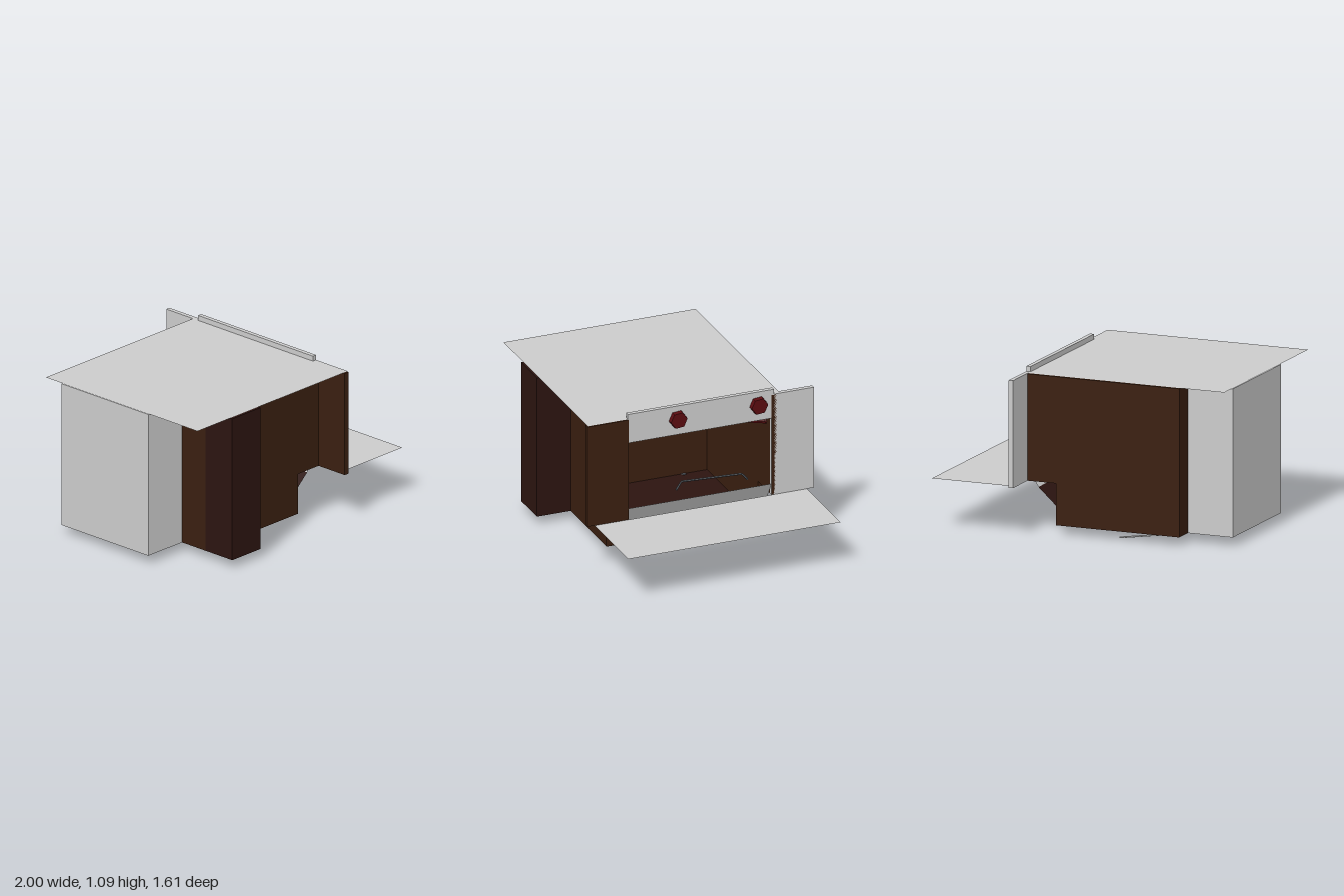
import * as THREE from 'three';

const mat = (color) => new THREE.MeshStandardMaterial({ color, side: THREE.DoubleSide, flatShading: true });
const grey = mat(0xcccccc), wood = mat(0x3a1f10), darkWood = mat(0x2c1410);
const red = mat(0x5a0c10), metal = mat(0x555a60), inner = mat(0x4a3c36);

export function createModel() {
  const group = new THREE.Group();
  const add = (name, geometry, material) => {
    const mesh = new THREE.Mesh(geometry, material);
    mesh.name = name;
    group.add(mesh);
    return mesh;
  };
  // Box from its limits on each axis
  const box = (name, x0, x1, y0, y1, z0, z1, material) =>
    add(name, new THREE.BoxGeometry(x1 - x0, y1 - y0, z1 - z0), material)
      .position.set((x0 + x1) / 2, (y0 + y1) / 2, (z0 + z1) / 2);
  // Flat strip spanning the opening in z, between two (x, y) points
  const strip = (name, a, b, z0, z1, material) => {
    const plane = new THREE.PlaneGeometry(Math.hypot(b[0] - a[0], b[1] - a[1]), z1 - z0);
    plane.rotateX(-Math.PI / 2).rotateZ(Math.atan2(b[1] - a[1], b[0] - a[0]));
    add(name, plane, material).position.set((a[0] + b[0]) / 2, (a[1] + b[1]) / 2, (z0 + z1) / 2);
  };
  // Thin rod through a list of points
  const rod = (name, points, radius, material) => {
    const path = new THREE.CurvePath();
    const p = points.map((q) => new THREE.Vector3(...q));
    for (let i = 1; i < p.length; i++) path.add(new THREE.LineCurve3(p[i - 1], p[i]));
    add(name, new THREE.TubeGeometry(path, 24, radius, 5), material);
  };

  // Stepped side walls
  const outline = [[-0.68, 0.06], [0.2, 0.06], [0.2, 0.34], [0.43, 0.34], [0.43, 1.055], [-0.68, 1.055]];
  const shape = new THREE.Shape(outline.map(([x, y]) => new THREE.Vector2(x, y)));
  for (const [name, z] of [['frontWall', 0.5], ['backWall', -0.57]]) {
    add(name, new THREE.ExtrudeGeometry(shape, { depth: 0.06, bevelEnabled: false }), wood).position.z = z;
  }

  // Inner end wall with a window into the rear compartment
  const wall = new THREE.Shape();
  wall.moveTo(-0.51, 0.06).lineTo(0.5, 0.06).lineTo(0.5, 1.055).lineTo(-0.51, 1.055);
  const hole = new THREE.Path();
  hole.moveTo(-0.33, 0.4).lineTo(-0.33, 0.66).lineTo(0.29, 0.66).lineTo(0.29, 0.4);
  wall.holes.push(hole);
  const wallGeometry = new THREE.ExtrudeGeometry(wall, { depth: 0.02, bevelEnabled: false });
  add('endWall', wallGeometry.rotateY(-Math.PI / 2), wood).position.x = -0.66;
  box('frameTop', -0.68, -0.63, 0.64, 0.71, -0.35, 0.31, metal);
  box('frameSide', -0.68, -0.63, 0.38, 0.64, 0.285, 0.31, metal);
  box('frameSide', -0.68, -0.63, 0.38, 0.64, -0.35, -0.325, metal);
  box('windowBack', -0.98, -0.97, 0.38, 0.7, -0.36, 0.31, inner);

  // Rear compartment: five thin panels
  box('compartmentEnd', -1, -0.985, 0.06, 1.055, -0.43, 0.35, grey);
  box('compartmentSide', -0.985, -0.68, 0.06, 1.055, -0.43, -0.415, grey);
  box('compartmentSide', -0.985, -0.68, 0.06, 1.055, 0.335, 0.35, grey);
  box('compartmentFloor', -0.985, -0.68, 0.06, 0.07, -0.415, 0.335, grey);

  // Projecting column on the front
  box('frontColumn', -0.68, -0.41, 0.06, 1.055, 0.56, 0.8, darkWood);

  // Floor, sloped chute and lip
  strip('floor', [-0.68, 0.062], [0.1, 0.062], -0.51, 0.5, darkWood);
  strip('chute', [0.1, 0.062], [0.35, 0.29], -0.51, 0.5, darkWood);
  strip('lip', [0.35, 0.29], [0.43, 0.42], -0.51, 0.5, grey);

  // Top sheet and lowered door
  strip('topSheet', [-1, 1.06], [0.43, 1.06], -0.57, 0.79, grey);
  strip('door', [0.43, 0.34], [1, 0.34], -0.76, 0.74, grey);

  // Face panels around the opening
  box('frontFacePanel', 0.395, 0.43, 0.34, 1.055, 0.5, 0.795, wood);
  box('backFacePanel', 0.4, 0.43, 0.34, 1.06, -0.81, -0.51, grey);
  box('header', 0.4, 0.43, 0.89, 1.095, -0.525, 0.505, grey);

  // Hexagonal knobs
  for (const z of [0.155, -0.415]) {
    const knob = new THREE.CylinderGeometry(0.058, 0.062, 0.034, 6);
    knob.rotateZ(-Math.PI / 2).rotateX(0.1);
    add('knob', knob, red).position.set(0.445, 1.002, z);
  }

  // Red pipe under the top and wire rest inside
  const pipe = new THREE.CatmullRomCurve3([
    new THREE.Vector3(0.36, 0.85, -0.5), new THREE.Vector3(0.2, 0.835, -0.3),
    new THREE.Vector3(0.05, 0.85, -0.08), new THREE.Vector3(0, 0.88, -0.01)]);
  add('innerPipe', new THREE.TubeGeometry(pipe, 20, 0.025, 8), red);
  rod('wireRest', [[0.28, 0.41, -0.4], [0.19, 0.41, -0.4], [0.15, 0.41, 0.01], [0.18, 0.37, 0.06]], 0.007, metal);

  // Bent rods and small pegs underneath
  rod('underRod', [[-0.55, 0.045, 0.76], [-0.55, 0.045, 0.5], [-0.23, 0.006, 0.5]], 0.006, grey);
  rod('underRod', [[-0.55, 0.055, -0.51], [-0.23, 0.006, -0.51]], 0.006, grey);
  for (const z of [0.3, -0.34]) box('peg', -0.67, -0.64, 0.045, 0.065, z - 0.015, z + 0.015, metal);

  return group;
}
